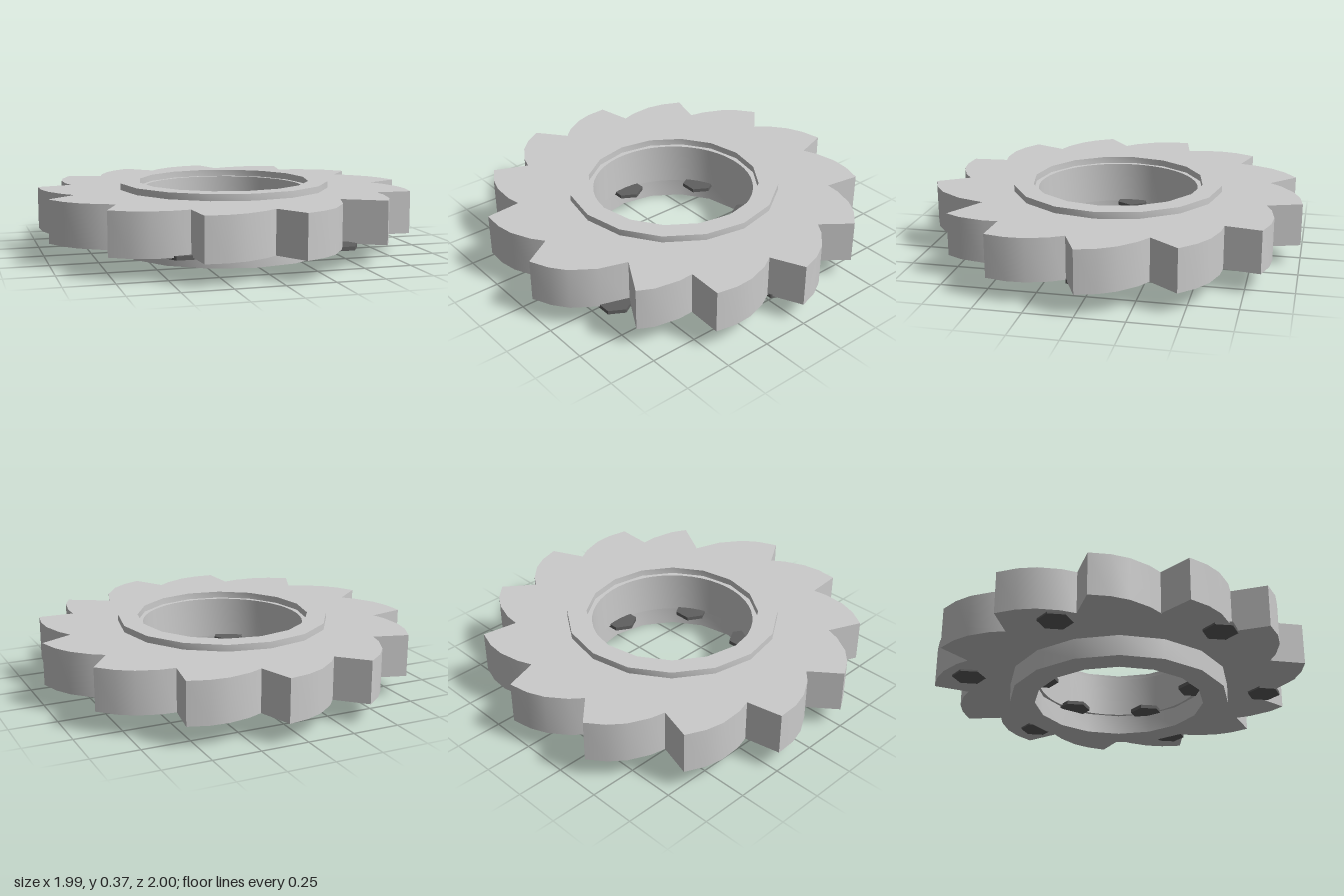
import * as THREE from 'three';
import { toCreasedNormals } from 'three/addons/utils/BufferGeometryUtils.js';

const grey = new THREE.MeshStandardMaterial({ color: 0xcccccc });
const dark = new THREE.MeshStandardMaterial({ color: 0x606060 });

// Point on a circle; angle in degrees, measured from +x towards +z
const polar = (deg, r) => {
  const a = THREE.MathUtils.degToRad(deg);
  return new THREE.Vector2(Math.cos(a) * r, Math.sin(a) * r);
};
const polygon = (n, r) => Array.from({ length: n }, (_, i) => polar((i * 360) / n, r));

// Upright plate between two heights, with an optional hole
function plate(name, outline, hole, y0, y1, material = grey) {
  const shape = new THREE.Shape(outline);
  if (hole) shape.holes.push(new THREE.Path(hole));
  const geo = new THREE.ExtrudeGeometry(shape, { depth: y1 - y0, bevelEnabled: false });
  geo.rotateX(Math.PI / 2).translate(0, y1, 0);
  const mesh = new THREE.Mesh(toCreasedNormals(geo, 0.5), material);
  mesh.name = name;
  return mesh;
}

// Saw-tooth rim: curved back from each notch to a tip, one tooth worn short
function toothOutline() {
  const count = 13, step = 360 / count;
  const regular = [[5.5, 0.84], [9.7, 0.888], [16.1, 0.947], [21.5, 0.982], [step, 1.008]];
  const worn = [[5.5, 0.84], [9.7, 0.888], [16.9, 0.955], [21.9, 0.985]];
  const afterWorn = [[0.4, 0.765], [8.4, 0.868], ...regular.slice(2)];
  const points = [];
  for (let i = 0; i < count; i++) {
    const tooth = i === 1 ? worn : i === 2 ? afterWorn : regular;
    for (const [a, r] of tooth) points.push(polar(i * step + a, r));
  }
  return points;
}

export function createModel() {
  const model = new THREE.Group();
  model.name = 'ratchetWheel';

  const wheel = new THREE.Group();
  wheel.name = 'wheel';
  wheel.position.x = -0.018; // the odd tooth count sits off centre
  model.add(wheel);

  wheel.add(
    plate('toothedDisc', toothOutline(), polygon(48, 0.433), 0.11, 0.335),
    plate('upperCollar', polygon(16, 0.567), polygon(16, 0.462), 0.335, 0.37),
    plate('lowerHub', polygon(16, 0.59), polygon(16, 0.455), 0, 0.11)
  );

  // Two rings of hexagonal bolt heads under the disc
  for (const [name, radius] of [['innerBolt', 0.42], ['outerBolt', 0.81]]) {
    for (const p of polygon(6, radius)) {
      const bolt = plate(name, polygon(6, 0.09), null, 0.1, 0.12, dark);
      bolt.position.set(p.x, 0, p.y);
      wheel.add(bolt);
    }
  }
  return model;
}
